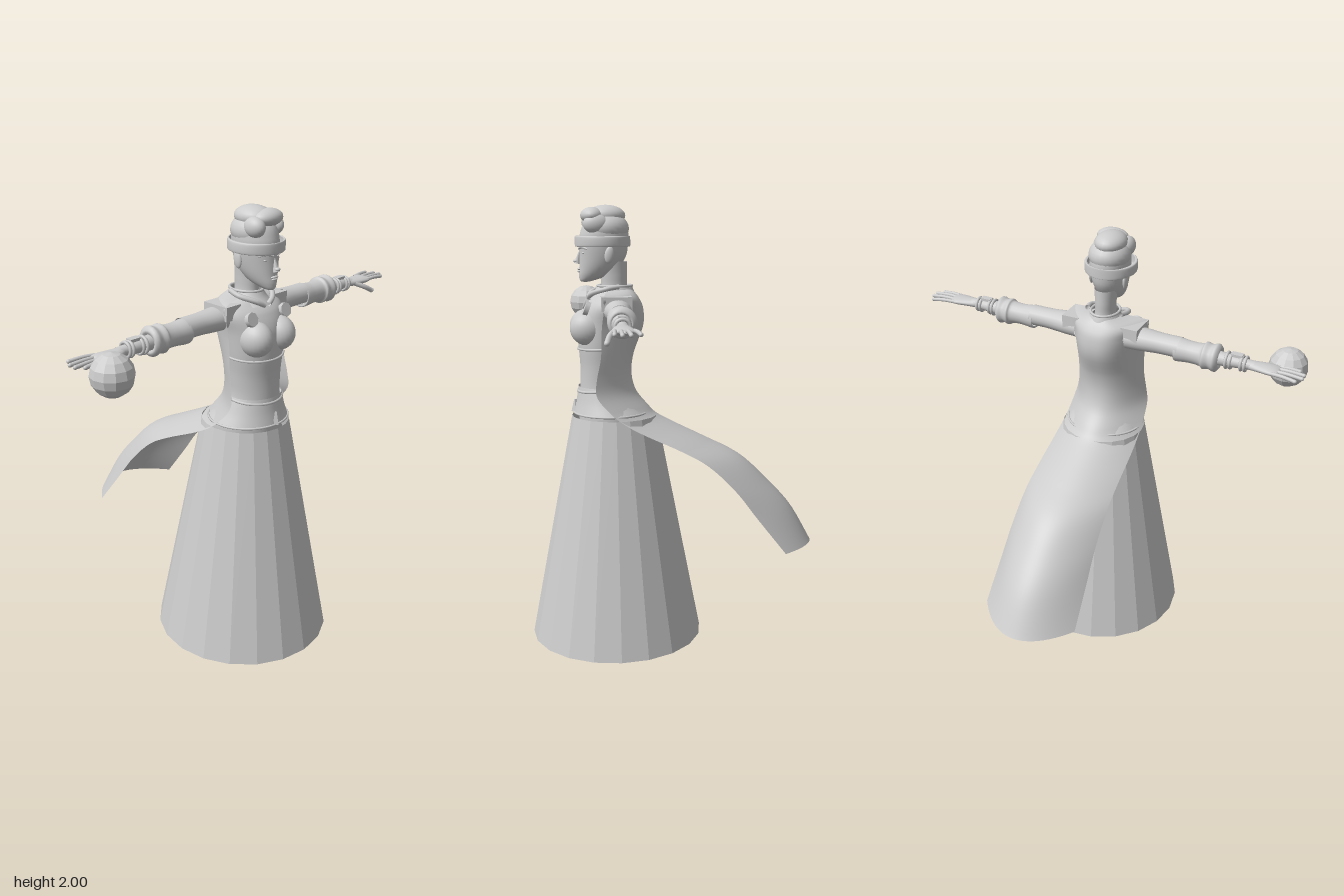
import * as THREE from 'three';
import { ParametricGeometry } from 'three/addons/geometries/ParametricGeometry.js';

const clay = new THREE.MeshStandardMaterial({ color: 0xcccccc, side: THREE.DoubleSide });
clay.name = 'pale grey';
const facetedClay = clay.clone();
facetedClay.flatShading = true;

// Smooth interpolation through a list of number rows
function sample(rows, t) {
  const s = Math.min(Math.max(t, 0), 1) * (rows.length - 1);
  const i = Math.min(Math.floor(s), rows.length - 2), f = s - i;
  const r = k => rows[Math.min(Math.max(k, 0), rows.length - 1)];
  return rows[0].map((_, c) => {
    const a = r(i - 1)[c], b = r(i)[c], d = r(i + 1)[c], e = r(i + 2)[c];
    return b + 0.5 * f * (d - a + f * (2 * a - 5 * b + 4 * d - e + f * (3 * (b - d) + e - a)));
  });
}

// Oval sections [height, half width, front z, back z] joined into a skin
function loft(rows, sides = 32, steps = rows.length * 4) {
  return new ParametricGeometry((u, v, p) => {
    const [y, w, zf, zb] = sample(rows, v), a = u * Math.PI * 2;
    p.set(w * Math.sin(a), y, (zf + zb) / 2 + (zf - zb) / 2 * Math.cos(a));
  }, sides, steps);
}

function add(parent, name, geometry, x = 0, y = 0, z = 0, material = clay) {
  const m = new THREE.Mesh(geometry, material);
  m.name = name;
  m.position.set(x, y, z);
  parent.add(m);
  return m;
}

function blob(parent, name, x, y, z, rx, ry, rz) {
  const m = add(parent, name, new THREE.SphereGeometry(1, 24, 16), x, y, z);
  m.scale.set(rx, ry, rz);
  return m;
}

function tube(parent, name, points, radius, closed = false) {
  const curve = new THREE.CatmullRomCurve3(points.map(p => new THREE.Vector3(...p)), closed);
  return add(parent, name, new THREE.TubeGeometry(curve, closed ? 48 : 12, radius, 8, closed));
}

// Oval cord around the body, optionally dipping at the front
function trim(parent, name, y, w, zf, zb, radius, dip = 0) {
  const pts = [];
  for (let i = 0; i < 24; i++) {
    const a = i / 24 * Math.PI * 2;
    pts.push([w * Math.sin(a), y + dip * Math.cos(a), (zf + zb) / 2 + (zf - zb) / 2 * Math.cos(a)]);
  }
  tube(parent, name, pts, radius, true);
}

function buildHead(g) {
  add(g, 'neck', loft([[1.58, .07, .33, .18], [1.64, .046, .315, .2], [1.7, .045, .315, .2], [1.76, .05, .32, .2]]));
  add(g, 'head', loft([[1.672, .004, .39, .375], [1.677, .022, .405, .35], [1.70, .044, .41, .28], [1.735, .062, .408, .235],
    [1.78, .075, .407, .205], [1.83, .083, .407, .195], [1.88, .086, .402, .193], [1.93, .076, .38, .21], [1.965, .03, .33, .26]]));
  // Face
  const nose = add(g, 'nose', new THREE.ConeGeometry(.015, .065, 8), 0, 1.783, .41);
  nose.rotation.x = -.22;
  blob(g, 'noseTip', 0, 1.762, .42, .012, .009, .014);
  blob(g, 'upperLip', 0, 1.728, .408, .02, .005, .009);
  blob(g, 'lowerLip', 0, 1.718, .407, .016, .006, .009);
  for (const s of [-1, 1]) {
    blob(g, 'eye', s * .032, 1.797, .388, .014, .007, .008);
    tube(g, 'brow', [[s * .012, 1.815, .408], [s * .035, 1.822, .398], [s * .058, 1.814, .372]], .005);
    const ear = blob(g, 'ear', s * .08, 1.79, .28, .01, .036, .02);
    ear.rotation.x = -.15;
  }
  // Broad headband
  add(g, 'headband', loft([[1.825, .1, .42, .187], [1.827, .113, .425, .185], [1.865, .113, .425, .185], [1.868, .1, .42, .187]], 32, 18));
  // Swept up hair
  blob(g, 'hairBase', 0, 1.9, .29, .09, .07, .1);
  blob(g, 'hairCrown', -.005, 1.955, .29, .068, .045, .085);
  blob(g, 'frontRoll', .015, 1.955, .35, .072, .036, .05);
  blob(g, 'sideRoll', -.055, 1.925, .345, .035, .042, .05);
  blob(g, 'sideRoll', .06, 1.92, .335, .032, .042, .055);
}

function buildBody(g) {
  add(g, 'torso', loft([[1.0, .15, .42, .12], [1.1, .155, .42, .14], [1.2, .118, .415, .195], [1.3, .12, .412, .2],
    [1.4, .133, .418, .19], [1.5, .145, .415, .155], [1.57, .16, .385, .16], [1.61, .14, .345, .18], [1.635, .06, .32, .2]], 40));
  for (const s of [-1, 1]) {
    blob(g, 'bust', s * .067, 1.475, .375, .066, .075, .08);
    const panel = add(g, 'shoulderPanel', new THREE.BoxGeometry(.08, .06, .13), s * .14, 1.588, .255);
    panel.rotation.z = 0;
    const badge = add(g, 'chestBadge', new THREE.CylinderGeometry(.03, .03, .02, 8), s * .1, 1.565, .38);
    badge.rotation.set(Math.PI / 2 - .35, 0, 0);
    // Collar wings
    tube(g, 'collarWing', [[s * .01, 1.605, .37], [s * .05, 1.625, .355], [s * .09, 1.645, .3], [s * .08, 1.655, .24]], .011);
  }
  // Standing collar
  add(g, 'collar', loft([[1.6, .1, .37, .16], [1.63, .075, .345, .17], [1.655, .062, .33, .18]]));
  trim(g, 'collarEdge', 1.655, .062, .33, .18, .006);
  trim(g, 'underbustTrim', 1.39, .133, .42, .185, .005, -.008);
  // Corset skirt
  add(g, 'peplum', loft([[1.095, .178, .445, .11], [1.15, .148, .432, .16], [1.215, .123, .422, .195]]));
  trim(g, 'waistTrim', 1.205, .126, .424, .192, .006, -.012);
  trim(g, 'peplumHem', 1.098, .177, .444, .112, .005);
  add(g, 'frontClasp', new THREE.CylinderGeometry(.005, .018, .055, 4), 0, 1.125, .438, facetedClay);

  // Vest and trailing tail: [half width, edge y, edge z, centre y, centre z]
  const rows = [[.07, 1.635, .29, 1.65, .19], [.178, 1.617, .31, 1.61, .155], [.174, 1.56, .31, 1.56, .132], [.166, 1.48, .32, 1.48, .132],
    [.165, 1.36, .325, 1.36, .175], [.172, 1.26, .345, 1.27, .185], [.18, 1.19, .345, 1.19, .165], [.186, 1.12, .29, 1.12, .11],
    [.19, 1.07, .23, 1.08, .07], [.195, 1.02, .14, 1.03, -.02], [.2, .945, -.02, .965, -.15], [.205, .875, -.14, .88, -.31],
    [.21, .76, -.26, .76, -.44], [.217, .63, -.36, .63, -.555], [.225, .465, -.49, .465, -.65]];
  add(g, 'vestAndTail', new ParametricGeometry((u, v, p) => {
    const [w, ey, ez, my, mz] = sample(rows, v), q = 2 * u - 1;
    const k = 1 - Math.pow(Math.abs(q), v < .5 ? 3 - 2 * v : 2);
    p.set(w * q, ey + (my - ey) * k, ez + (mz - ez) * k);
  }, 24, 60));
}

function buildArm() {
  const arm = new THREE.Group();
  arm.name = 'arm';
  // Lofted upright, then laid along +x
  const lay = rows => loft(rows, 20).rotateZ(-Math.PI / 2);
  add(arm, 'sleeve', lay([[.12, .05, .31, .185], [.18, .05, .31, .19], [.27, .045, .3, .2], [.36, .045, .3, .2]]), 0, 1.556);
  add(arm, 'cuff', lay([[.345, .04, .3, .2], [.35, .052, .305, .198], [.41, .047, .3, .203], [.46, .05, .3, .2], [.475, .06, .31, .19],
    [.5, .054, .306, .195], [.525, .062, .31, .192], [.54, .045, .3, .21], [.535, .03, .285, .22]]), 0, 1.546);
  add(arm, 'forearm', lay([[.48, .033, .288, .222], [.58, .028, .287, .227], [.66, .021, .282, .234], [.69, .019, .285, .235]]), 0, 1.545);
  for (const [x, r] of [[.57, .033], [.588, .031], [.635, .029], [.652, .029]]) {
    const ring = add(arm, 'bracelet', new THREE.TorusGeometry(r, .007, 8, 20), x, 1.545, .257);
    ring.rotation.y = Math.PI / 2;
  }
  add(arm, 'braceletPlate', new THREE.BoxGeometry(.05, .012, .03), .612, 1.577, .257);
  add(arm, 'palm', lay([[.67, .019, .283, .234], [.71, .018, .298, .226], [.76, .017, .304, .217], [.79, .012, .3, .22], [.8, .004, .28, .24]]), 0, 1.543);
  // Fanned fingers and thumb
  [[.222, .205, .875], [.247, .24, .895], [.272, .271, .895], [.293, .298, .87]].forEach(([z0, z1, tip]) => {
    tube(arm, 'finger', [[.77, 1.545, z0], [(.77 + tip) / 2, 1.547, (z0 + z1) / 2], [tip, 1.543, z1]], .0085);
    blob(arm, 'fingertip', tip, 1.543, z1, .01, .0085, .0085);
  });
  tube(arm, 'thumb', [[.695, 1.54, .285], [.735, 1.522, .31], [.775, 1.5, .322]], .011);
  blob(arm, 'thumbTip', .775, 1.5, .322, .012, .011, .011);
  return arm;
}

function buildLeg() {
  const leg = new THREE.Group();
  leg.name = 'leg';
  const limb = add(leg, 'legSkin', loft([[.06, .036, .27, .185], [.14, .034, .265, .19], [.3, .052, .285, .16], [.42, .052, .295, .165],
    [.52, .052, .305, .2], [.75, .075, .34, .19], [1.02, .085, .36, .17]], 20), .125);
  limb.rotation.z = .02;
  // Shoe laid along its length toward the toes
  add(leg, 'shoe', new ParametricGeometry((u, v, p) => {
    const [z, w, top] = sample([[.17, .012, .06], [.185, .038, .1], [.24, .042, .11], [.31, .045, .08], [.4, .057, .055], [.46, .048, .045], [.49, .01, .025]], v);
    const a = u * Math.PI * 2;
    p.set(w * Math.cos(a), .012 + (top - .012) * (.5 + .5 * Math.sin(a)), z);
  }, 20, 24), .135);
  add(leg, 'heel', new THREE.CylinderGeometry(.04, .036, .04, 16), .135, .02, .212);
  const sole = add(leg, 'sole', new THREE.CylinderGeometry(.06, .056, .018, 20), .135, .009, .4);
  sole.scale.z = 1.5;
  const strap = add(leg, 'ankleStrap', new THREE.TorusGeometry(.042, .008, 8, 20), .132, .13, .228);
  strap.rotation.x = Math.PI / 2;
  return leg;
}

export function createModel() {
  const model = new THREE.Group();
  model.name = 'gownedFigure';
  buildHead(model);
  buildBody(model);
  for (const s of [1, -1]) {
    for (const limb of [buildArm(), buildLeg()]) {
      limb.scale.x = s;
      model.add(limb);
    }
  }
  // Faceted hollow gown skirt and orb by the right hand
  add(model, 'skirt', new THREE.CylinderGeometry(.19, .39, 1.03, 20, 1, true), 0, .567, .263, facetedClay);
  add(model, 'orb', new THREE.SphereGeometry(.085, 12, 8), -.805, 1.517, .365, facetedClay);
  return model;
}
